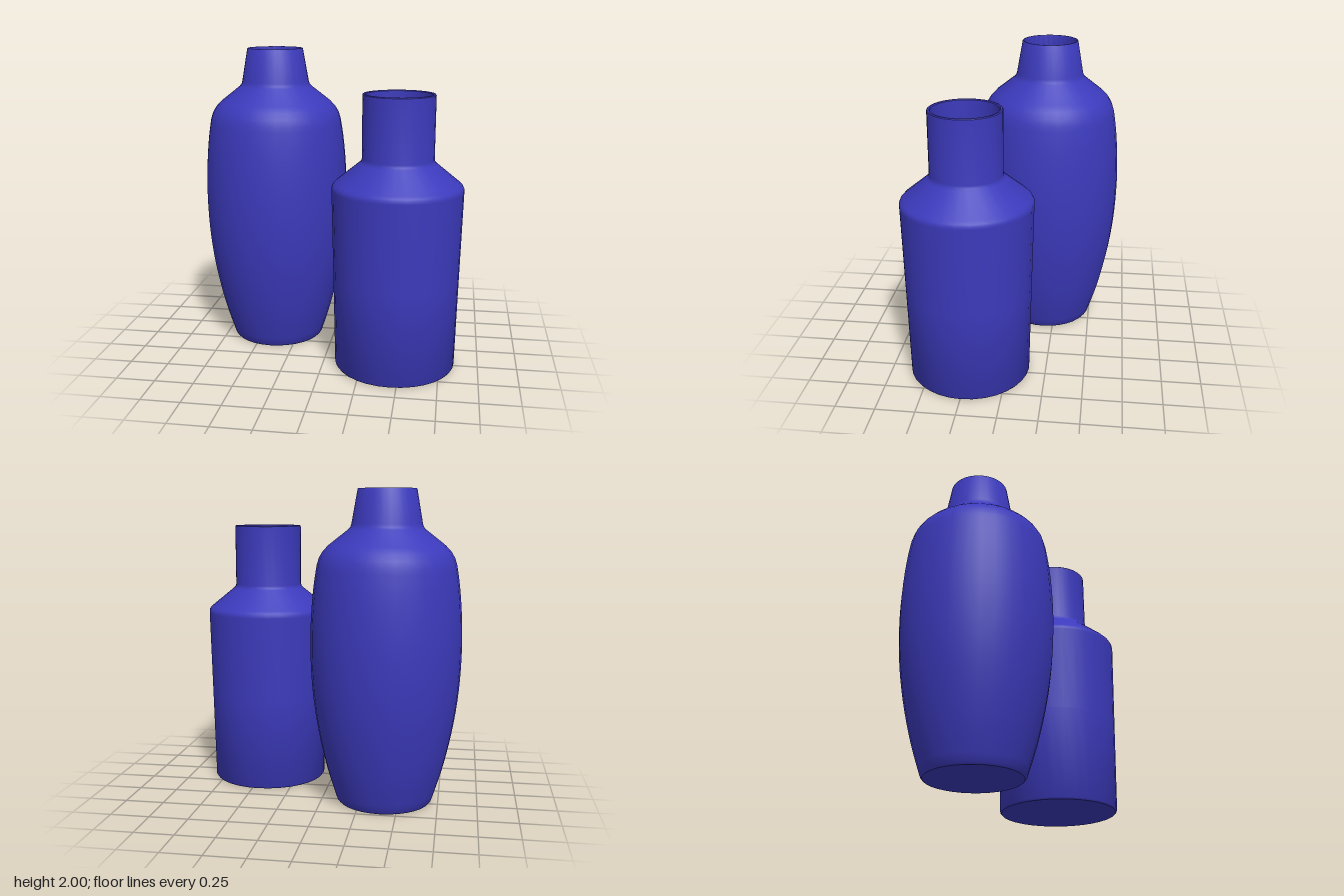
import * as THREE from 'three';
import { toCreasedNormals } from 'three/addons/utils/BufferGeometryUtils.js';

const material = new THREE.MeshStandardMaterial({ color: 0x3c3abc });
const v = (r, y) => new THREE.Vector2(r, y);

// Hollow vase: outer wall upwards, rounded lip, inner wall back down to a flat floor
function makeVase(name, outer, wall, x, z) {
  const top = outer[outer.length - 1];
  const inner = outer
    .filter(([, y]) => y > 0.05 && y < top[1] - 0.02)
    .reverse()
    .map(([r, y]) => v(r - wall, y));
  const floorRadius = outer[1][0] - wall;
  const profile = [
    v(0, 0),
    ...outer.map(([r, y]) => v(r, y)),
    v(top[0] - wall * 0.25, top[1] + 0.005),
    v(top[0] - wall * 0.75, top[1] + 0.005),
    v(top[0] - wall, top[1]),
    ...inner,
    v(floorRadius, 0.03),
    v(0, 0.03),
  ];
  const geometry = toCreasedNormals(new THREE.LatheGeometry(profile, 32), 0.75);
  const vase = new THREE.Mesh(geometry, material);
  vase.name = name;
  vase.position.set(x, 0, z);
  return vase;
}

export function createModel() {
  const group = new THREE.Group();
  group.name = 'vasePair';

  // Tall vase: swelling belly, rounded shoulder, tapered neck
  const belly = new THREE.SplineCurve([
    v(0.31, 0.015), v(0.368, 0.2), v(0.416, 0.4), v(0.451, 0.6), v(0.472, 0.8),
    v(0.48, 1.02), v(0.474, 1.22), v(0.458, 1.4), v(0.438, 1.53),
  ]).getPoints(24).map((p) => [p.x, p.y]);
  group.add(makeVase('tallVase', [
    [0.298, 0], ...belly,
    [0.424, 1.575], [0.4, 1.615], [0.365, 1.652], [0.24, 1.75],
    [0.228, 1.765], [0.222, 1.785], [0.185, 1.995],
  ], 0.013, -0.4, -0.185));

  // Short vase: near-straight body, sloped shoulder, cylindrical neck
  group.add(makeVase('shortVase', [
    [0.378, 0], [0.387, 0.012], [0.4, 0.6], [0.413, 1.165], [0.413, 1.18],
    [0.405, 1.195], [0.39, 1.21], [0.24, 1.332], [0.228, 1.345],
    [0.225, 1.36], [0.225, 1.755],
  ], 0.02, 0.46, 0.245));

  return group;
}
